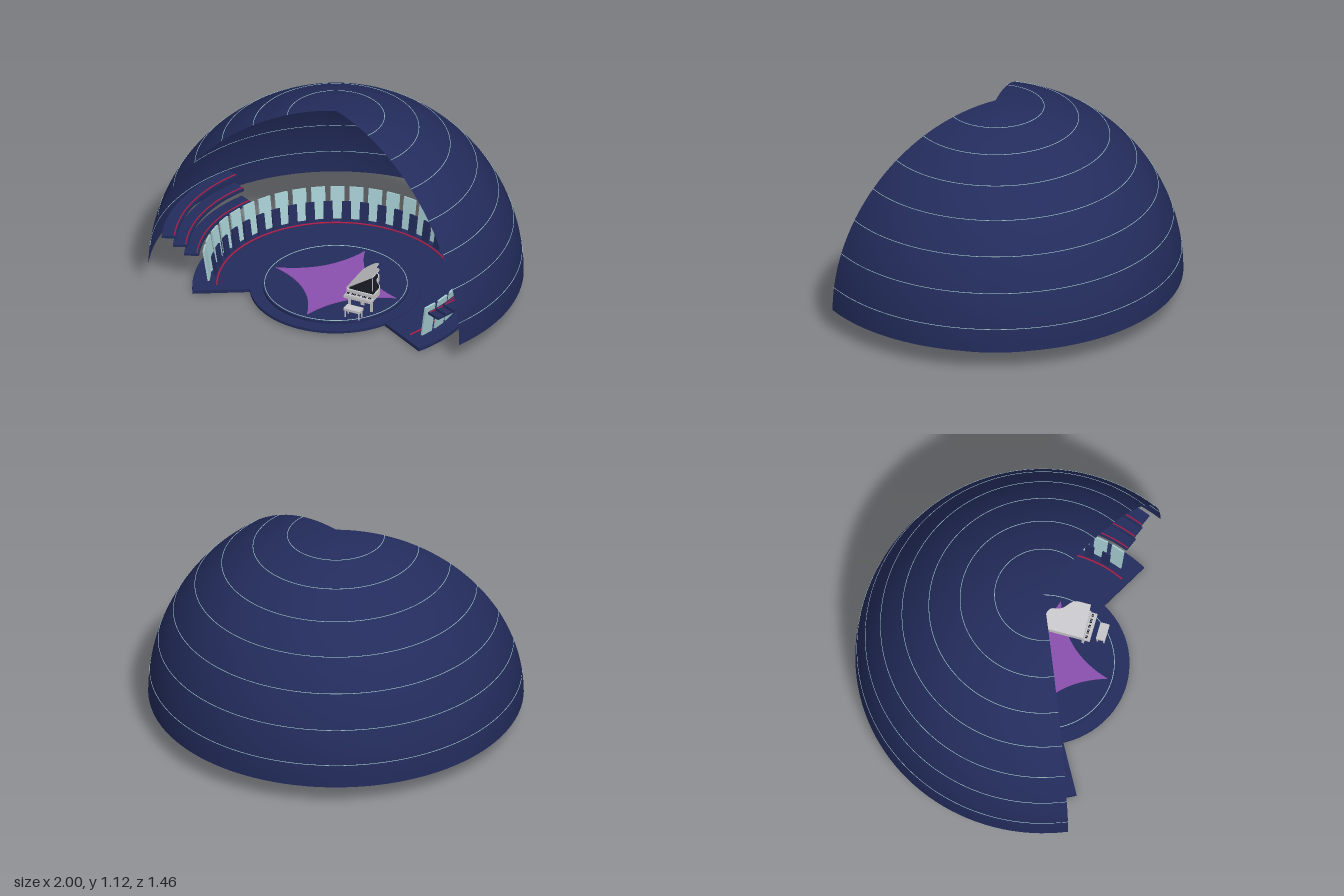
import * as THREE from 'three';

const RAD = Math.PI / 180;
const mat = (name, color, side = THREE.FrontSide) => {
  const m = new THREE.MeshStandardMaterial({ color, side });
  m.name = name;
  return m;
};

export function createModel() {
  const navy = mat('navy', 0x232c5c);
  const navyShell = navy.clone();
  navyShell.side = THREE.DoubleSide;
  const teal = mat('paleTeal', 0xa6cdd2);
  const red = mat('crimson', 0xa81f4c);
  const purple = mat('purple', 0x8b50ae);
  const grey = mat('lightGrey', 0xc6c6ca);
  const black = mat('black', 0x14161f);

  const root = new THREE.Group();
  root.name = 'domedConcertHall';
  // Everything radiates from the dome axis; angles are measured from +z towards +x
  const hall = new THREE.Group();
  hall.name = 'hall';
  hall.position.z = 0.265;
  root.add(hall);

  const add = (name, geo, material, parent = hall) => {
    const m = new THREE.Mesh(geo, material);
    m.name = name;
    parent.add(m);
    return m;
  };
  const box = (name, w, h, d, x, y, z, material, parent) => {
    const m = add(name, new THREE.BoxGeometry(w, h, d), material, parent);
    m.position.set(x, y, z);
    return m;
  };
  // Flat slab from a plan shape drawn with y = -z
  const slab = (shape, y, h) => new THREE.ExtrudeGeometry(shape, { depth: h, bevelEnabled: false, curveSegments: 16 })
    .rotateX(-Math.PI / 2).translate(0, y, 0);
  const sector = (rIn, rOut, a0, a1, y, h) => {
    const pts = [];
    const n = Math.ceil((a1 - a0) / 3);
    const put = (r, i) => {
      const a = (a0 + (a1 - a0) * i / n) * RAD;
      pts.push(new THREE.Vector2(r * Math.sin(a), -r * Math.cos(a)));
    };
    for (let i = 0; i <= n; i++) put(rOut, i);
    if (rIn > 0) for (let i = n; i >= 0; i--) put(rIn, i);
    else pts.push(new THREE.Vector2(0, 0));
    return slab(new THREE.Shape(pts), y, h);
  };
  const arcTube = (r, y, a0, a1, thick) => {
    const pts = [];
    for (let i = 0; i <= 32; i++) {
      const a = (a0 + (a1 - a0) * i / 32) * RAD;
      pts.push(new THREE.Vector3(r * Math.sin(a), y, r * Math.cos(a)));
    }
    return new THREE.TubeGeometry(new THREE.CatmullRomCurve3(pts), 96, thick, 6);
  };

  // Dome shell, open at the front
  const OPEN = 66.8;
  const profile = [];
  for (let i = 0; i <= 32; i++) {
    const t = i / 32 * Math.PI / 2;
    profile.push(new THREE.Vector2(Math.max(Math.cos(t), 0), 0.12 + Math.sin(t)));
  }
  add('domeShell', new THREE.LatheGeometry(profile, 80, OPEN * RAD, (360 - 2 * OPEN) * RAD), navyShell);

  // Fine light lines around the dome
  for (let i = 0; i < 7; i++) {
    const t = (15 + 11.25 * i) * RAD;
    add('domeLightRing', arcTube(Math.sin(t), 0.12 + Math.cos(t), OPEN, 360 - OPEN, 0.0018), teal);
  }

  // Floor and stage
  add('floor', sector(0, 0.765, 61, 299, 0, 0.02), navy);
  const disc = (name, r, y0, y1) => {
    add(name, new THREE.CylinderGeometry(r, r, y1 - y0, 72), navy).position.y = (y0 + y1) / 2;
  };
  disc('stageStep', 0.46, 0.01, 0.025);
  disc('stage', 0.39, 0.005, 0.04);
  add('stageLightRing', new THREE.TorusGeometry(0.38, 0.002, 6, 72).rotateX(Math.PI / 2), teal).position.y = 0.041;

  // Four-pointed rug with hollow sides
  const star = new THREE.Shape();
  const R = 0.357, C = 0.083;
  star.moveTo(R, 0);
  star.quadraticCurveTo(C, C, 0, R);
  star.quadraticCurveTo(-C, C, -R, 0);
  star.quadraticCurveTo(-C, -C, 0, -R);
  star.quadraticCurveTo(C, -C, R, 0);
  add('stageRug', slab(star, 0.04, 0.004), purple);

  // Leaning wall panels with shorter navy slabs in the gaps
  const leaning = (name, deg, r, w, h, y, material) => {
    const pivot = new THREE.Group();
    pivot.name = name + 'Pivot';
    pivot.rotation.y = deg * RAD;
    hall.add(pivot);
    box(name, w, h, 0.01, 0, y + h / 2, r, material, pivot).rotation.x = 0.15;
  };
  const PANELS = 27, FIRST = 71, STEP = (360 - 2 * FIRST) / (PANELS - 1);
  for (let i = 0; i < PANELS; i++) {
    const a = FIRST + STEP * i;
    leaning('wallPanel', a, 0.692, 0.075, 0.185, 0.025, teal);
    if (i < PANELS - 1) leaning('lowPanel', a + STEP / 2, 0.66, 0.048, 0.115, 0.025, navy);
  }
  add('floorLightStrip', arcTube(0.635, 0.026, 64, 296, 0.005), red);

  // Three balcony tiers on each side
  for (let k = 0; k < 3; k++) {
    const r = 0.73 + 0.06 * k, y = 0.18 + 0.052 * k;
    for (const [a0, a1] of [[68, 116], [244, 292]]) {
      add('balcony', sector(r, r + 0.08, a0, a1, y, 0.014), navy);
      add('balconyRail', arcTube(r + 0.012, y + 0.017, a0, a1, 0.004), red);
    }
  }

  // Grand piano: body outline in plan, hinge side at x = 0, keys at the front
  const piano = new THREE.Group();
  piano.name = 'piano';
  piano.position.set(0.15, 0.04, 0.18);
  hall.add(piano);
  const wing = () => {
    const s = new THREE.Shape();
    s.moveTo(0, 0);
    s.lineTo(0.16, 0);
    s.lineTo(0.16, 0.06);
    s.bezierCurveTo(0.16, 0.13, 0.105, 0.11, 0.1, 0.19);
    s.bezierCurveTo(0.095, 0.235, 0.01, 0.235, 0, 0.19);
    s.closePath();
    return s;
  };
  add('pianoBody', slab(wing(), 0.07, 0.035), grey, piano);
  const inner = add('pianoInterior', slab(wing(), 0.105, 0.003), black, piano);
  inner.scale.set(0.9, 1, 0.9);
  inner.position.set(0.008, 0, -0.01);
  const lid = add('pianoLid', slab(wing(), 0, 0.005), grey, piano);
  lid.position.set(0, 0.11, 0);
  lid.rotation.z = 0.6;
  lid.scale.x = 1.18;
  box('lidProp', 0.004, 0.08, 0.004, 0.14, 0.15, -0.03, grey, piano);
  box('keyboardShelf', 0.16, 0.016, 0.035, 0.08, 0.078, 0.0175, grey, piano);
  box('whiteKeys', 0.146, 0.004, 0.022, 0.08, 0.088, 0.02, grey, piano);
  for (let i = 0; i < 16; i++) {
    if (i % 7 !== 2 && i % 7 !== 6) box('blackKey', 0.005, 0.004, 0.012, 0.012 + i * 0.009, 0.091, 0.013, black, piano);
  }
  for (const [x, z] of [[0.015, -0.005], [0.145, -0.005], [0.05, -0.18]]) {
    box('pianoLeg', 0.012, 0.07, 0.012, x, 0.035, z, grey, piano);
  }
  box('pedalPost', 0.02, 0.06, 0.006, 0.08, 0.04, -0.03, grey, piano);

  // Bench
  const bench = new THREE.Group();
  bench.name = 'bench';
  bench.position.set(0.232, 0.04, 0.265);
  hall.add(bench);
  box('benchSeat', 0.096, 0.014, 0.05, 0, 0.048, 0, grey, bench);
  for (const sx of [-1, 1]) for (const sz of [-1, 1]) {
    box('benchLeg', 0.007, 0.042, 0.007, sx * 0.04, 0.021, sz * 0.018, grey, bench);
  }
  return root;
}
